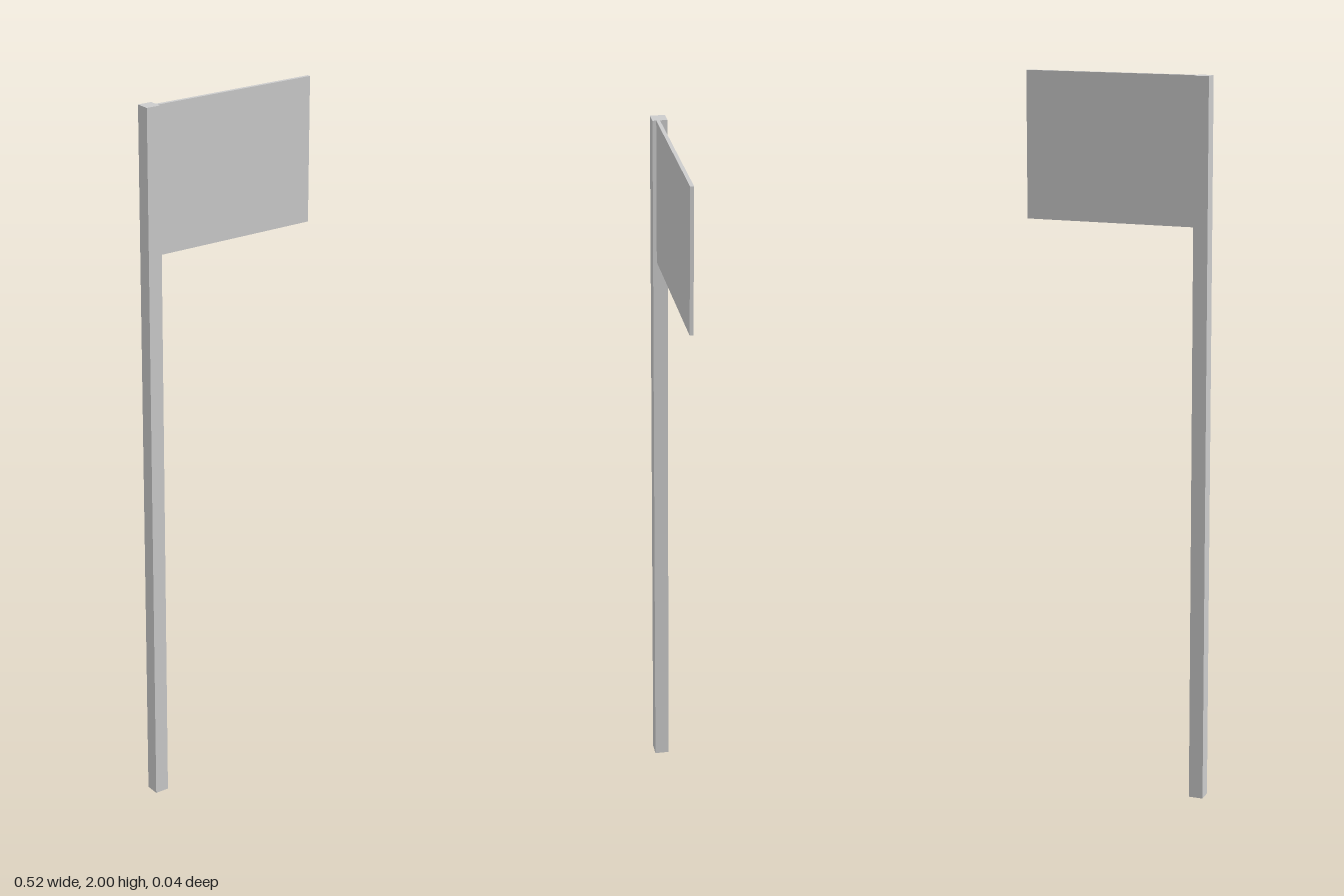
import * as THREE from 'three';

export function createModel() {
  const model = new THREE.Group();
  model.name = 'flagOnPole';
  const material = new THREE.MeshStandardMaterial({ color: 0xcccccc, flatShading: true });

  // Box given by its minimum and maximum corners
  function addBox(name, [x0, y0, z0], [x1, y1, z1]) {
    const mesh = new THREE.Mesh(new THREE.BoxGeometry(x1 - x0, y1 - y0, z1 - z0), material);
    mesh.position.set((x0 + x1) / 2, (y0 + y1) / 2, (z0 + z1) / 2);
    mesh.name = name;
    model.add(mesh);
  }

  // Square upright pole
  addBox('pole', [-0.26, 0, -0.02], [-0.22, 2, 0.02]);

  // Thin flag panel attached to the pole's side, slightly forward of centre
  addBox('flag', [-0.22, 1.6, 0], [0.26, 2, 0.01]);

  return model;
}
